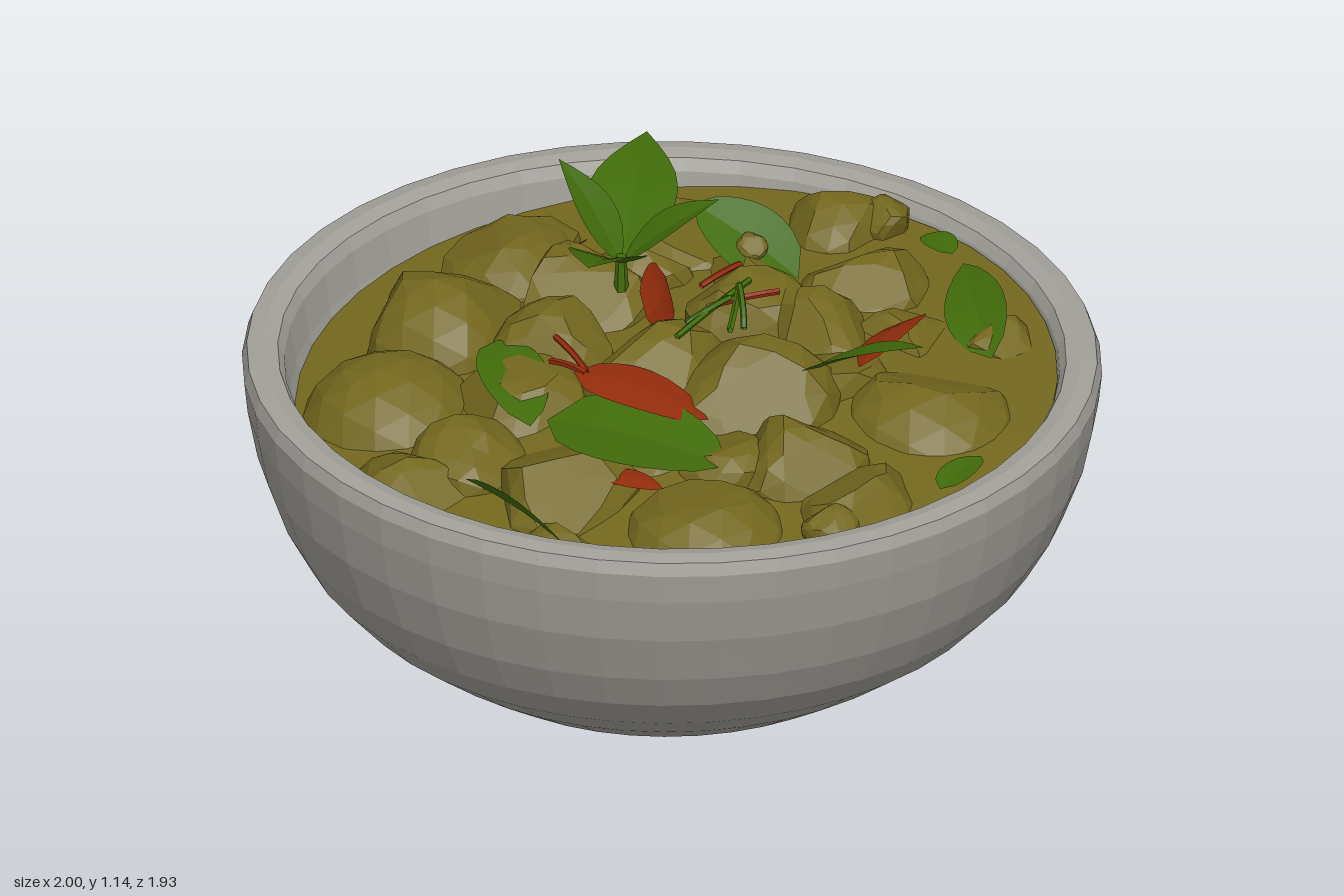
import * as THREE from 'three';

const V = (a) => new THREE.Vector3(...a);
const mat = (name, color, extra = {}) =>
  Object.assign(new THREE.MeshStandardMaterial({ color, flatShading: true, ...extra }), { name });

// Small seeded random generator
function seeded(seed) {
  let s = seed * 7919 + 13;
  return () => (s = (s * 16807) % 2147483647) / 2147483647;
}

// Move every vertex by a rule
function deform(geo, rule) {
  const p = geo.attributes.position, v = new THREE.Vector3();
  for (let i = 0; i < p.count; i++) {
    v.fromBufferAttribute(p, i);
    rule(v);
    p.setXYZ(i, v.x, v.y, v.z);
  }
  geo.computeVertexNormals();
  return geo;
}

// Lump of food: a ball shaved flat by a few random planes
function lumpGeometry(size, seed, cuts) {
  const rnd = seeded(seed);
  for (let i = 0; i < 5; i++) rnd();
  const planes = Array.from({ length: cuts }, () => [
    new THREE.Vector3(rnd() * 2 - 1, rnd() * 1.4 - 0.3, rnd() * 2 - 1).normalize(), 0.66 + rnd() * 0.2]);
  return deform(new THREE.IcosahedronGeometry(1, 2), (v) => {
    for (const [n, d] of planes) {
      const over = v.dot(n) - d;
      if (over > 0) v.addScaledVector(n, -over);
    }
    v.multiply(V(size));
  });
}

// Folded leaf from base to tip, facing roughly along normal, in cross-sections of three points
function leafGeometry(base, tip, width, { fold = 0.12, arch = 0.04, round = 0.8, normal = [0, 1, 0] } = {}) {
  const a = V(base), dir = V(tip).sub(a), len = dir.length();
  const side = V(normal).cross(dir).normalize();
  const up = dir.clone().normalize().cross(side).normalize();
  const N = 8, pos = [], idx = [];
  for (let i = 0; i <= N; i++) {
    const t = i / N;
    const w = (width / 2) * Math.pow(Math.sin(Math.PI * Math.pow(t, 0.85)) + 1e-6, round);
    const mid = a.clone().addScaledVector(dir, t).addScaledVector(up, Math.sin(Math.PI * t) * arch * len);
    for (const s of [-1, 0, 1]) {
      const q = mid.clone().addScaledVector(side, s * w).addScaledVector(up, Math.abs(s) * w * fold);
      pos.push(q.x, q.y, q.z);
    }
    if (i < N) for (const c of [0, 1]) {
      const k = i * 3 + c;
      idx.push(k, k + 3, k + 1, k + 1, k + 3, k + 4);
    }
  }
  const g = new THREE.BufferGeometry();
  g.setAttribute('position', new THREE.Float32BufferAttribute(pos, 3));
  g.setIndex(idx);
  g.computeVertexNormals();
  return g;
}

export function createModel() {
  const model = new THREE.Group();
  const stone = mat('bowl grey', 0xa19f98, { side: THREE.DoubleSide });
  const curry = mat('curry olive', 0x73671e);
  const green = mat('leaf green', 0x416b0a, { side: THREE.DoubleSide });
  const red = mat('chili red', 0x942c0c, { side: THREE.DoubleSide });

  const add = (name, geo, material, parent = model) => {
    const m = new THREE.Mesh(geo, material);
    m.name = name;
    parent.add(m);
    return m;
  };
  const group = (name) => {
    const g = new THREE.Group();
    g.name = name;
    model.add(g);
    return g;
  };

  // Bowl, slightly oval with a gently sloping rim
  const profile = [[0, 0.003], [0.3, 0.01], [0.41, 0.042], [0.55, 0.115], [0.67, 0.195], [0.78, 0.28],
    [0.865, 0.375], [0.92, 0.475], [0.967, 0.605], [0.99, 0.72], [0.998, 0.795], [0.987, 0.825], [0.95, 0.831],
    [0.915, 0.823], [0.9, 0.795], [0.885, 0.71], [0.84, 0.55], [0.6, 0.3], [0, 0.15]]
    .map(([x, y]) => new THREE.Vector2(x, y));
  add('bowl', deform(new THREE.LatheGeometry(profile, 44), (v) => {
    v.z *= 0.965;
    v.y -= (0.021 * v.x + 0.024 * v.z) * v.y / 0.84;
  }), stone);

  // Domed curry surface, lapping higher up the left wall
  const soup = [[0.895, 0.67], [0.895, 0.715], [0.7, 0.73], [0.5, 0.75], [0.25, 0.78], [0, 0.8]]
    .map(([x, y]) => new THREE.Vector2(x, y));
  add('currySurface', deform(new THREE.LatheGeometry(soup, 44), (v) => {
    v.z *= 0.965;
    v.y += (v.x > 0 ? 0.065 : 0.045) * v.x - 0.025 * v.z;
  }), curry);

  // Round potatoes: x, z, radius, top height
  const potatoes = group('potatoes');
  [[-0.57, -0.3, 0.22, 0.82], [0.36, -0.5, 0.22, 0.85], [0.43, 0.42, 0.23, 0.84], [-0.25, 0.55, 0.21, 0.8]]
    .forEach(([x, z, r, top], i) => {
      const m = add('potato', lumpGeometry([r, r * 0.9, r], i + 3, 1), curry, potatoes);
      m.position.set(x, top - r * 0.88, z);
    });

  // Cut chunks: x, z, radius, top height
  const chunks = group('meatChunks');
  [[-0.3, -0.48, 0.19, 0.84], [-0.02, -0.64, 0.17, 0.83], [-0.01, -0.37, 0.15, 0.88], [-0.44, 0.23, 0.19, 0.78],
    [0.06, 0.45, 0.15, 0.82], [0.1, 0.19, 0.18, 0.88], [0.58, -0.08, 0.16, 0.83], [0.68, -0.38, 0.14, 0.83],
    [-0.72, 0.0, 0.15, 0.76], [0.09, 0.67, 0.15, 0.78], [0.37, 0.03, 0.15, 0.85], [-0.35, -0.1, 0.15, 0.82],
    [0.25, -0.06, 0.14, 0.89], [-0.05, 0.03, 0.17, 0.87], [-0.2, 0.22, 0.15, 0.75], [0.28, 0.2, 0.15, 0.82],
    [-0.6, 0.42, 0.12, 0.72], [0.72, 0.24, 0.1, 0.79], [-0.17, -0.2, 0.15, 0.86], [0.38, -0.27, 0.14, 0.83],
    [0.77, -0.3, 0.06, 0.84], [-0.03, 0.74, 0.06, 0.77], [-0.55, 0.02, 0.13, 0.79], [0.16, -0.42, 0.13, 0.83],
    [0.55, 0.12, 0.12, 0.81], [-0.08, 0.38, 0.12, 0.78], [0.38, -0.27, 0.035, 0.885]]
    .forEach(([x, z, r, top], i) => {
      const m = add('chunk', lumpGeometry([r * 1.15, r, r * 1.15], i + 20, 8), curry, chunks);
      m.position.set(x, top - r * 0.72, z);
      m.rotation.y = i * 1.3;
    });

  // Leaf sprig standing on top
  const sprig = group('leafSprig');
  const heart = [0.03, 0.92, -0.27];
  [[[-0.22, 1.11, -0.01], 0.18], [[0.31, 1.02, -0.61], 0.21], [[-0.04, 1.14, -0.43], 0.12],
    [[0.22, 1.09, -0.15], 0.14]]
    .forEach(([tip, w]) => add('sprigLeaf',
      leafGeometry(heart, tip, w, { fold: 0.18, round: 1 }), green, sprig));
  add('sprigStem', new THREE.CylinderGeometry(0.012, 0.018, 0.1, 6), green, sprig).position.set(0.03, 0.89, -0.27);

  // Loose leaves: base, tip, width, facing direction, roundness
  const leaves = group('looseLeaves');
  [[[-0.4, 0.815, 0.1], [-0.12, 0.775, 0.44], 0.3, [0.1, 1, 0.2], 0.6],
    [[0.18, 0.83, 0.25], [0.37, 0.97, 0.5], 0.21, [0, 0.88, -0.48], 1],
    [[-0.31, 0.825, -0.26], [-0.42, 0.785, 0.06], 0.16, [0, 1, 0], 0.6],
    [[0.66, 0.77, 0.33], [0.8, 0.81, -0.02], 0.15, [-0.4, 0.8, 0], 0.8],
    [[-0.67, 0.78, 0.18], [-0.57, 0.7, 0.51], 0.14, [0.75, 0.65, 0], 0.8],
    [[0.46, 0.79, -0.19], [0.3, 0.94, -0.39], 0.19, [0, 0.8, 0.6], 0.6],
    [[0.26, 0.75, 0.75], [0.42, 0.75, 0.67], 0.08, [0, 1, 0], 0.6],
    [[0.82, 0.79, -0.21], [0.82, 0.79, -0.1], 0.08, [0, 1, 0], 0.5]]
    .forEach(([a, b, w, normal, round]) => add('leaf', leafGeometry(a, b, w, { normal, round }), green, leaves));

  // Red chili slices, the last two tucked under the sprig
  const chilies = group('chiliSlices');
  [[[-0.29, 0.88, 0.04], [-0.07, 0.8, 0.27], 0.17, [0.4, 0.8, 0.45], 0.55],
    [[0.34, 0.815, 0.27], [0.6, 0.815, 0.14], 0.13, [-0.3, 0.85, -0.35], 0.8],
    [[-0.39, 0.775, 0.32], [-0.29, 0.76, 0.43], 0.08, [0, 1, 0], 0.7],
    [[0.0, 0.86, -0.11], [0.15, 0.85, -0.27], 0.16, [0.65, 0.4, 0.65], 0.45],
    [[-0.08, 0.86, -0.41], [0.07, 0.86, -0.49], 0.1, [-0.5, 0.7, -0.5], 0.5]]
    .forEach(([a, b, w, normal, round]) => add('chili',
      leafGeometry(a, b, w, { normal, round, arch: 0.08, fold: -0.1 }), red, chilies));

  // Thin shredded garnish: ends and material
  const shreds = group('shreds');
  [[[-0.03, 0.91, 0.07], [0.24, 0.92, -0.05], green], [[0.07, 0.93, 0.14], [0.2, 0.93, -0.03], green],
    [[0.1, 0.91, -0.01], [0.27, 0.92, 0.03], red], [[0.12, 0.91, 0.12], [0.17, 0.96, 0.02], green],
    [[0.02, 0.91, 0.03], [0.15, 0.93, 0.01], green], [[0.14, 0.91, -0.1], [0.27, 0.91, -0.14], red],
    [[-0.24, 0.88, -0.12], [-0.26, 0.87, 0.06], red], [[-0.29, 0.86, -0.06], [-0.27, 0.88, 0.06], red]]
    .forEach(([a, b, m]) => {
      const line = new THREE.QuadraticBezierCurve3(V(a), V(a).lerp(V(b), 0.5).add(V([0, 0.015, 0.01])), V(b));
      add('shred', new THREE.TubeGeometry(line, 5, 0.008, 5), m, shreds);
    });

  return model;
}
